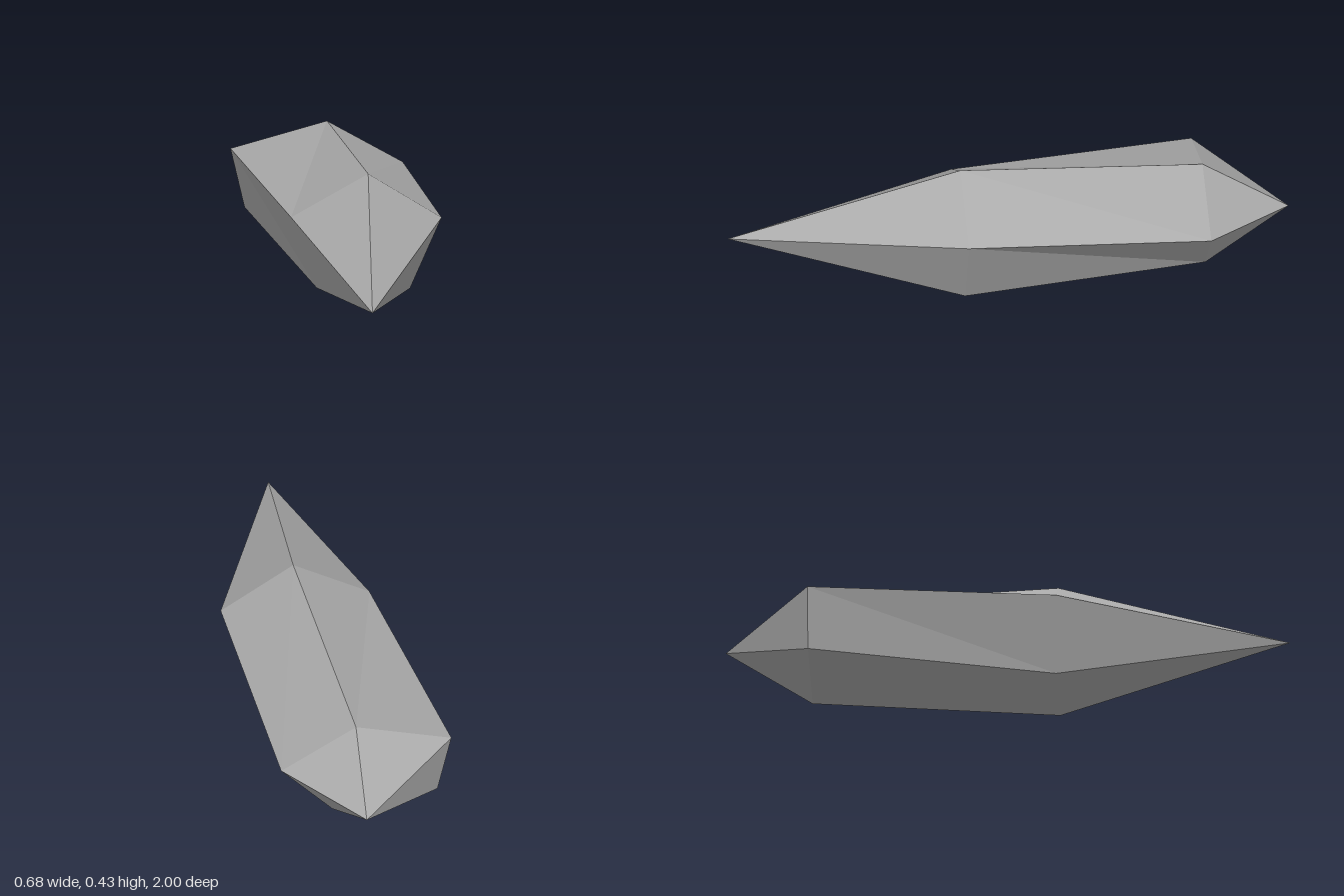
import * as THREE from 'three';

// Flat-shaded five-sided crystal shard lying along z, pointed at both ends
export function createModel() {
  const group = new THREE.Group();
  group.name = 'crystalShard';

  const stone = new THREE.MeshStandardMaterial({ color: 0xa6a6a6, flatShading: true });
  stone.name = 'grey stone';

  const ring = (z, points) => points.map(([x, y]) => [x, y, z]);

  // Irregular cross-sections, clockwise from the top as seen from the front
  const front = ring(0.177, [[0.076, 0.43], [0.337, 0.261], [0.225, 0.002], [-0.107, 0.012], [-0.198, 0.276]]);
  const back = ring(-0.695, [[0.005, 0.355], [0.274, 0.196], [0.09, 0.003], [-0.288, 0.043], [-0.338, 0.262]]);
  const frontTip = [0.02, 0.173, 1];
  const backTip = [0.02, 0.173, -1];

  const addPart = (name, facesAt) => {
    const corners = front.flatMap((_, i) => facesAt(i, (i + 1) % front.length));
    const geometry = new THREE.BufferGeometry();
    geometry.setAttribute('position', new THREE.Float32BufferAttribute(corners.flat(), 3));
    geometry.computeVertexNormals();
    const mesh = new THREE.Mesh(geometry, stone);
    mesh.name = name;
    group.add(mesh);
  };

  // Long front point, twisted body and short back point
  addPart('frontPoint', (i, j) => [frontTip, front[j], front[i]]);
  addPart('body', (i, j) => [front[i], front[j], back[j], front[i], back[j], back[i]]);
  addPart('backPoint', (i, j) => [back[i], back[j], backTip]);

  return group;
}
